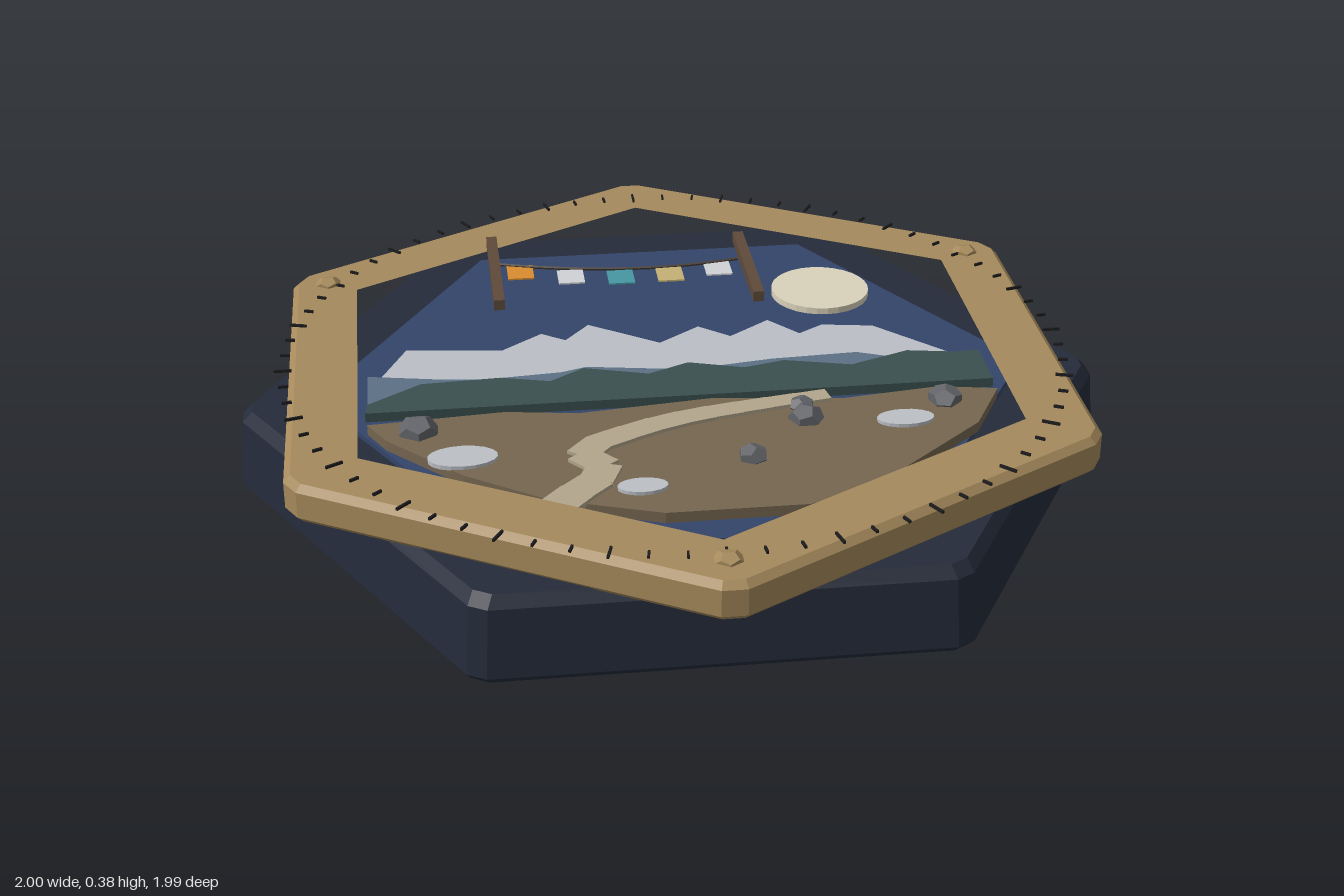
import * as THREE from 'three';

const mat = (color, side = THREE.FrontSide) =>
  new THREE.MeshStandardMaterial({ color, flatShading: true, side });

// Hexagon with clipped corners as [x, z] points; turn sets where the first corner lies
function clippedHex(radius, turn, cut) {
  const corner = i => new THREE.Vector2(
    radius * Math.cos(turn + i * Math.PI / 3), radius * Math.sin(turn + i * Math.PI / 3));
  const pts = [];
  for (let i = 0; i < 6; i++) {
    const c = corner(i);
    if (!cut) { pts.push([c.x, c.y]); continue; }
    for (const n of [i - 1, i + 1]) {
      const p = c.clone().lerp(corner(n), cut / radius);
      pts.push([p.x, p.y]);
    }
  }
  return pts;
}

const toShape = pts => new THREE.Shape(pts.map(([x, z]) => new THREE.Vector2(x, -z)));

// Flat plate lying level, from y = bottom to y = top
function plate(shape, bottom, top, bevel = 0) {
  const g = new THREE.ExtrudeGeometry(shape, {
    depth: top - bottom - 2 * bevel, bevelEnabled: bevel > 0,
    bevelSize: bevel, bevelThickness: bevel, bevelSegments: 1, curveSegments: 12,
  });
  return g.rotateX(-Math.PI / 2).translate(0, bottom + bevel, 0);
}

// Solid through scaled copies of one outline, rings = [y, scale]
function loft(outline, rings) {
  const pos = [], n = outline.length;
  const at = ([y, s], i) => [outline[i % n][0] * s, y, outline[i % n][1] * s];
  for (let i = 0; i < n; i++) {
    for (let r = 0; r < rings.length - 1; r++) {
      const a = at(rings[r], i), b = at(rings[r], i + 1);
      const c = at(rings[r + 1], i + 1), d = at(rings[r + 1], i);
      pos.push(...a, ...d, ...c, ...a, ...c, ...b);
    }
    const lo = rings[0], hi = rings[rings.length - 1];
    pos.push(0, lo[0], 0, ...at(lo, i), ...at(lo, i + 1));
    pos.push(0, hi[0], 0, ...at(hi, i + 1), ...at(hi, i));
  }
  const g = new THREE.BufferGeometry();
  g.setAttribute('position', new THREE.Float32BufferAttribute(pos, 3));
  g.computeVertexNormals();
  return g;
}

export function createModel() {
  const model = new THREE.Group();
  const add = (name, geometry, material, parent = model) => {
    const m = new THREE.Mesh(geometry, material);
    m.name = name;
    parent.add(m);
    return m;
  };
  const group = name => {
    const g = new THREE.Group();
    g.name = name;
    model.add(g);
    return g;
  };

  // Tapered base with softened rims
  add('base', loft(clippedHex(1.013, 0, 0.026),
    [[0, 0.987], [0.015, 1], [0.17, 0.985], [0.195, 0.962]]), mat(0x242b3a));

  // Bevelled frame, turned so its corners point front and back
  const frameShape = toShape(clippedHex(0.993, Math.PI / 6, 0.026));
  frameShape.holes.push(toShape(clippedHex(0.832, Math.PI / 6, 0)));
  add('frame', plate(frameShape, 0.19, 0.28, 0.015), mat(0xa68a5c));

  // Ring of tick marks
  const ticks = group('tickMarks');
  const tickMat = mat(0x1c1c1e);
  for (let i = 0; i < 72; i++) {
    const a = i * Math.PI / 36, len = i % 3 ? 0.022 : 0.04;
    const t = add('tick', new THREE.BoxGeometry(len, 0.006, 0.005), tickMat, ticks);
    t.position.set(0.888 * Math.cos(a), 0.283, 0.888 * Math.sin(a));
    t.rotation.y = -a;
  }

  // Frame studs
  for (const [x, z] of [[-0.79, -0.46], [0.79, -0.46], [0, 0.905]]) {
    const s = add('stud', new THREE.DodecahedronGeometry(0.033), mat(0xa68a5c));
    s.scale.y = 0.55;
    s.position.set(x, 0.278, z);
  }

  // Sky and moon
  add('sky', plate(toShape(clippedHex(0.82, 0, 0)), 0.19, 0.208), mat(0x34456a));
  const moon = add('moon', new THREE.CylinderGeometry(0.12, 0.12, 0.016, 28), mat(0xd9d2bb));
  moon.position.set(0.415, 0.217, -0.41);

  // Stepped landscape layers, back to front
  const layer = (name, color, bottom, top, pts) =>
    add(name, plate(toShape(pts), bottom, top), mat(color));
  layer('snowyMountains', 0xbcbfc6, 0.212, 0.232, [
    [-0.7, 0.03], [-0.61, -0.17], [-0.385, -0.145], [-0.29, -0.22], [-0.235, -0.18],
    [-0.175, -0.255], [-0.015, -0.14], [0.085, -0.215], [0.155, -0.155], [0.255, -0.23],
    [0.32, -0.15], [0.38, -0.19], [0.5, -0.17], [0.69, 0.03], [0.69, 0.12], [-0.7, 0.12]]);
  layer('blueHills', 0x5c7085, 0.228, 0.246, [
    [-0.7, -0.02], [-0.55, 0.01], [-0.44, 0.025], [-0.26, 0.01], [-0.2, -0.01], [0.03, 0.03],
    [0.23, 0], [0.43, -0.01], [0.5, 0.02], [0.6, 0.01], [0.7, 0.06], [0.7, 0.16], [-0.7, 0.16]]);
  layer('greenRidge', 0x39504f, 0.242, 0.264, [
    [-0.7, 0.15], [-0.58, 0.065], [-0.4, 0.055], [-0.29, 0.085], [-0.21, 0.03],
    [-0.065, 0.075], [0.03, 0.03], [0.155, 0.07], [0.25, 0.045], [0.4, 0.085],
    [0.54, 0.03], [0.65, 0.05], [0.705, 0.045], [0.705, 0.19], [-0.705, 0.19]]);
  layer('ground', 0x75664f, 0.246, 0.27, [
    [-0.7, 0.255], [-0.4, 0.23], [-0.24, 0.255], [0.06, 0.22], [0.35, 0.255], [0.57, 0.225],
    [0.7, 0.25], [0.62, 0.4], [0.37, 0.62], [0.2, 0.7], [-0.1, 0.7], [-0.33, 0.62],
    [-0.5, 0.5], [-0.66, 0.33]]);

  // Path of overlapping slabs
  const path = group('path');
  const pathMat = mat(0xb3a78c);
  const way = [[0.31, 0.245], [0.15, 0.275], [-0.02, 0.315], [-0.15, 0.37], [-0.25, 0.44],
    [-0.2, 0.52], [-0.26, 0.59], [-0.32, 0.66]].map(([x, z]) => new THREE.Vector3(x, 0.272, z));
  const stops = new THREE.CatmullRomCurve3(way).getSpacedPoints(13);
  for (let i = 0; i < 13; i++) {
    const a = stops[i], b = stops[i + 1];
    const width = 0.045 + 0.035 * i / 12;
    const slab = add('slab', new THREE.BoxGeometry(a.distanceTo(b) + 0.012, 0.012, width), pathMat, path);
    slab.position.lerpVectors(a, b, 0.5);
    slab.rotation.y = -Math.atan2(b.z - a.z, b.x - a.x);
  }

  // Snow patches
  for (const [x, z, rx, rz] of [[-0.5, 0.43, 0.075, 0.045], [0.465, 0.37, 0.063, 0.035],
    [-0.135, 0.595, 0.053, 0.03]]) {
    const p = add('snowPatch', new THREE.CylinderGeometry(1, 1, 0.01, 18), mat(0xbcc0c5));
    p.scale.set(rx, 1, rz);
    p.position.set(x, 0.273, z);
  }

  // Rocks
  [[-0.59, 0.3, 0.045], [0.57, 0.29, 0.04], [0.25, 0.34, 0.04], [0.25, 0.285, 0.029],
    [0.11, 0.495, 0.034]].forEach(([x, z, r], i) => {
    const rock = add('rock', new THREE.DodecahedronGeometry(r), mat(0x626469));
    rock.scale.y = 0.75;
    rock.rotation.y = i * 1.3;
    rock.position.set(x, 0.275, z);
  });

  // Two poles laid above the scene
  for (const [x, z0, z1] of [[-0.39, -0.47, -0.11], [0.21, -0.43, -0.085]]) {
    const pole = add('pole', new THREE.BoxGeometry(0.025, 0.025, z1 - z0), mat(0x5f4a3a));
    pole.position.set(x, 0.366, (z0 + z1) / 2);
  }

  // Sagging cord with five flags
  const cord = new THREE.QuadraticBezierCurve3(new THREE.Vector3(-0.39, 0.308, -0.465),
    new THREE.Vector3(-0.07, 0.308, -0.355), new THREE.Vector3(0.21, 0.308, -0.425));
  add('cord', new THREE.TubeGeometry(cord, 16, 0.004, 5), mat(0x4a4038));
  [[-0.325, -0.413, 0xd98d2f], [-0.205, -0.374, 0xd0d2d6], [-0.085, -0.358, 0x4797a3],
    [0.035, -0.36, 0xc4b174], [0.155, -0.381, 0xd0d2d6]].forEach(([x, z, color]) => {
    const flag = add('flag', new THREE.BoxGeometry(0.063, 0.004, 0.074), mat(color));
    flag.position.set(x, 0.305, z);
  });

  return model;
}
